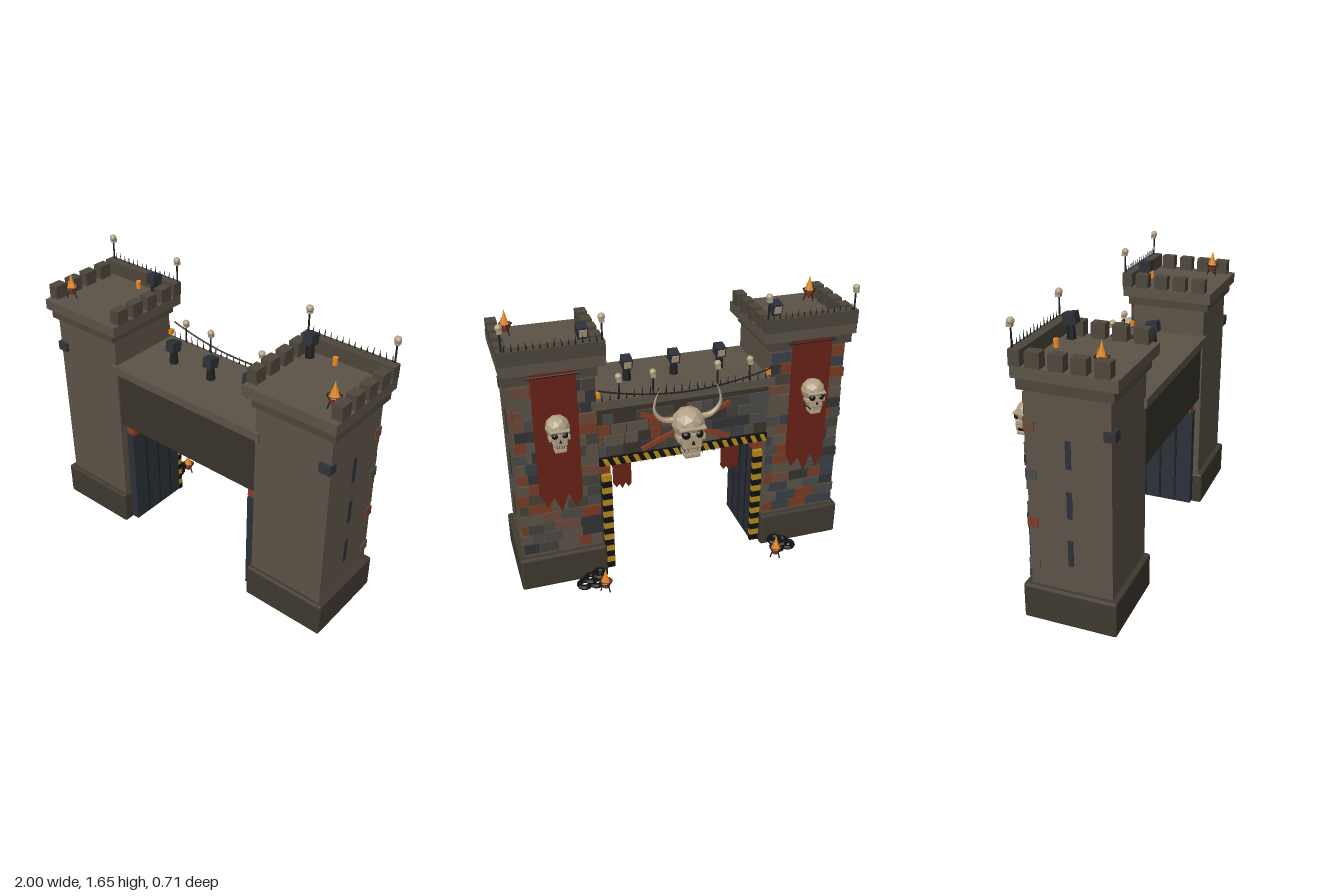
import * as THREE from 'three';
import { RoundedBoxGeometry } from 'three/addons/geometries/RoundedBoxGeometry.js';

const mat = (color, opts = {}) => new THREE.MeshStandardMaterial({ color, flatShading: true, ...opts });
const M = {
  stone: mat(0x5c5347), base: mat(0x3f392f), trim: mat(0x4d463b), dark: mat(0x38332b),
  metal: mat(0x1e2022), blue: mat(0x2b3038), rust: mat(0x8a3c20), bone: mat(0xb0a083),
  cloth: mat(0x6a2218, { side: THREE.DoubleSide }), flame: mat(0xe88a22), yellow: mat(0xb58a1c), black: mat(0x101010),
};
const brickMats = [0x4a4a48, 0x5c5347, 0x3a4048, 0x6b4a38, 0x7a3c24, 0x45403a, 0x333437].map((c) => mat(c));

let seed = 7;
const rand = () => (seed = (seed * 16807) % 2147483647) / 2147483647;

function add(parent, name, geo, material, x = 0, y = 0, z = 0) {
  const m = new THREE.Mesh(geo, material);
  m.name = name;
  m.position.set(x, y, z);
  parent.add(m);
  return m;
}

// Box given by its limits on each axis
function block(parent, name, material, x0, x1, y0, y1, z0, z1, round = 0) {
  const [w, h, d] = [Math.abs(x1 - x0), y1 - y0, z1 - z0];
  const geo = round ? new RoundedBoxGeometry(w, h, d, 1, round) : new THREE.BoxGeometry(w, h, d);
  return add(parent, name, geo, material, (x0 + x1) / 2, (y0 + y1) / 2, (z0 + z1) / 2);
}

function group(parent, name, x, y, z) {
  const g = new THREE.Group();
  g.name = name;
  g.position.set(x, y, z);
  parent.add(g);
  return g;
}

// Patchwork of slightly raised stones on a wall facing -z
function bricks(parent, x0, x1, y0, y1, z) {
  const rowH = 0.066;
  for (let y = y0; y + rowH <= y1 + 0.01; y += rowH) {
    for (let x = x0; x < x1 - 0.02;) {
      const w = Math.min(0.06 + rand() * 0.07, x1 - x);
      const out = 0.005 + rand() * 0.01;
      const m = brickMats[Math.floor(rand() * brickMats.length)];
      if (rand() > 0.2) block(parent, 'wallStone', m, x + 0.003, x + w - 0.003, y + 0.003, y + rowH - 0.003, z - out, z + 0.01);
      x += w;
    }
  }
}

// Hanging cloth with a ragged hem, top edge at y = 0
function banner(parent, name, w, h, x, y, z) {
  const s = new THREE.Shape();
  s.moveTo(-w / 2, 0);
  const hem = [0.9, 0.98, 0.86, 1, 0.88, 0.95, 0.84];
  hem.forEach((f, i) => s.lineTo(-w / 2 + (w * i) / (hem.length - 1), -h * f));
  s.lineTo(w / 2, 0);
  return add(parent, name, new THREE.ExtrudeGeometry(s, { depth: 0.008, bevelEnabled: false }), M.cloth, x, y, z);
}

// Skull of unit width looking along -z
function skull(parent, name, size, x, y, z) {
  const g = group(parent, name, x, y, z);
  g.scale.setScalar(size);
  add(g, 'cranium', new THREE.IcosahedronGeometry(0.52, 1), M.bone, 0, 0.15, 0);
  block(g, 'face', M.bone, -0.3, 0.3, -0.52, 0.05, -0.5, 0.1, 0.06);
  block(g, 'jaw', M.bone, -0.25, 0.25, -0.82, -0.64, -0.48, 0.05, 0.05);
  block(g, 'mouth', M.black, -0.22, 0.22, -0.66, -0.5, -0.42, 0);
  block(g, 'brow', M.bone, -0.42, 0.42, 0.1, 0.22, -0.53, -0.2, 0.05);
  for (const s of [-1, 1]) {
    add(g, 'eyeSocket', new THREE.IcosahedronGeometry(0.14, 1), M.black, s * 0.2, -0.03, -0.42);
    block(g, 'cheekbone', M.bone, s * 0.26, s * 0.44, -0.3, -0.1, -0.4, 0, 0.04);
  }
  add(g, 'noseHole', new THREE.ConeGeometry(0.07, 0.18, 3), M.black, 0, -0.25, -0.49);
  for (let i = -2; i <= 2; i++) block(g, 'tooth', M.bone, i * 0.1 - 0.035, i * 0.1 + 0.035, -0.64, -0.5, -0.5, -0.42);
  return g;
}

function skullPole(parent, x, y, z, h) {
  const g = group(parent, 'skullPole', x, y, z);
  add(g, 'pole', new THREE.CylinderGeometry(0.005, 0.005, h, 6), M.metal, 0, h / 2, 0);
  add(g, 'poleSkull', new THREE.IcosahedronGeometry(0.02, 1), M.bone, 0, h, 0);
  block(g, 'poleJaw', M.bone, -0.012, 0.012, h - 0.028, h - 0.008, -0.018, 0.01);
}

// Fire basket on three legs
function brazier(parent, x, y, z) {
  const g = group(parent, 'brazier', x, y, z);
  add(g, 'bowl', new THREE.CylinderGeometry(0.036, 0.02, 0.04, 8), M.rust, 0, 0.045, 0);
  add(g, 'rim', new THREE.TorusGeometry(0.036, 0.004, 4, 8), M.metal, 0, 0.065, 0).rotation.x = Math.PI / 2;
  for (let i = 0; i < 3; i++) {
    const a = (i * Math.PI * 2) / 3;
    const leg = add(g, 'leg', new THREE.CylinderGeometry(0.004, 0.004, 0.06, 5), M.metal, 0.024 * Math.cos(a), 0.03, 0.024 * Math.sin(a));
    leg.rotation.set(-0.3 * Math.sin(a), 0, 0.3 * Math.cos(a));
    add(g, 'sideFlame', new THREE.ConeGeometry(0.013, 0.05, 5), M.flame, 0.016 * Math.cos(a), 0.085, 0.016 * Math.sin(a));
  }
  add(g, 'flame', new THREE.ConeGeometry(0.023, 0.09, 6), M.flame, 0, 0.105, 0);
}

// Lamp housing tilted towards -z on a pedestal
function spotlight(parent, x, y, z) {
  const g = group(parent, 'spotlight', x, y, z);
  add(g, 'pedestal', new THREE.CylinderGeometry(0.02, 0.026, 0.08, 8), M.metal, 0, 0.04, 0);
  const head = group(g, 'lampHead', 0, 0.108, 0);
  head.rotation.x = -0.2;
  block(head, 'housing', M.blue, -0.028, 0.028, -0.03, 0.03, -0.035, 0.035);
  block(head, 'lens', M.bone, -0.021, 0.021, -0.021, 0.021, -0.038, -0.03);
}

function spikes(parent, x0, x1, n, y, z, h, dir = 1) {
  for (let i = 0; i < n; i++) {
    const len = h * (0.65 + 0.35 * rand());
    const m = add(parent, 'spike', new THREE.ConeGeometry(0.005, len, 4), M.metal, x0 + ((x1 - x0) * i) / (n - 1), y + (dir * len) / 2, z);
    m.rotation.set(0, 0, (dir < 0 ? Math.PI : 0) + (rand() - 0.5) * 0.3);
  }
}

function tower(root, s) {
  const g = group(root, s > 0 ? 'leftTower' : 'rightTower', 0, 0, 0);
  block(g, 'foundation', M.base, s * 0.485, s * 0.99, 0.005, 0.21, -0.19, 0.33, 0.012);
  block(g, 'towerWall', M.stone, s * 0.5, s * 0.96, 0.2, 1.31, -0.15, 0.3);
  block(g, 'lowerCornice', M.trim, s * 0.49, s * 0.985, 1.3, 1.36, -0.175, 0.325);
  block(g, 'upperCornice', M.stone, s * 0.445, s, 1.36, 1.42, -0.195, 0.35);
  block(g, 'parapet', M.trim, s * 0.445, s, 1.42, 1.5, -0.2, -0.14);
  for (const z of [-0.115, 0.003, 0.118, 0.235])
    for (const x of [0.445, 0.94]) block(g, 'merlon', M.trim, s * x, s * (x + 0.06), 1.42, 1.5, z, z + 0.077);
  for (const y of [0.36, 0.635, 0.91]) block(g, 'arrowSlit', M.blue, s * 0.95, s * 0.963, y, y + 0.15, 0.06, 0.09);
  bricks(g, Math.min(s * 0.5, s * 0.96), Math.max(s * 0.5, s * 0.96), 0.225, 1.29, -0.15);
  // Odd stones wrapping the outer corners
  [[0.3, -0.15], [0.55, -0.15], [0.82, -0.15], [1.08, -0.15], [1.09, 0.27]].forEach(([y, z], i) =>
    block(g, 'cornerStone', brickMats[(i * 3 + 1) % 7], s * 0.9, s * 0.966, y, y + 0.055, z - 0.008, z + 0.05));
  spikes(g, s * 0.49, s * 0.96, 14, 1.5, -0.19, 0.05);
  for (const x of [0.46, 0.975]) skullPole(g, s * x, 1.42, -0.188, 0.21);
  // Banner and trophy
  banner(g, 'towerBanner', 0.24, 0.85, s * 0.73, 1.36, -0.205);
  add(g, 'bannerRod', new THREE.CylinderGeometry(0.008, 0.008, 0.28, 6), M.metal, s * 0.73, 1.345, -0.2).rotation.z = Math.PI / 2;
  skull(g, 'towerSkull', 0.13, s * 0.73, 1.05, -0.245);
  // Roof equipment
  brazier(g, s * 0.9, 1.42, 0.23);
  spotlight(g, s * 0.545, 1.42, -0.085);
  add(g, 'fuelCan', new THREE.CylinderGeometry(0.015, 0.015, 0.045, 8), M.flame, s * 0.69, 1.442, -0.1);
  // Open gate leaf with hazard stripes on its edge
  block(g, 'gateLeaf', M.blue, s * 0.435, s * 0.485, 0.02, 0.66, -0.14, 0.27);
  for (const z of [-0.04, 0.06, 0.16]) block(g, 'gateRib', M.metal, s * 0.43, s * 0.44, 0.03, 0.65, z, z + 0.012);
  for (let i = 0; i < 16; i++) block(g, 'gateStripe', i % 2 ? M.yellow : M.black, s * 0.43, s * 0.486, 0.02 + i * 0.04, 0.06 + i * 0.04, -0.146, -0.12);
  for (const z of [-0.12, 0.2]) block(g, 'gateHinge', M.rust, s * 0.43, s * 0.49, 0.66, 0.7, z, z + 0.06);
  // Tyres and a fire basket by the foundation
  for (const [x, y, z] of [[0.64, 0.017, -0.25], [0.57, 0.017, -0.255], [0.6, 0.047, -0.245], [0.55, 0.072, -0.25]]) {
    const t = add(g, 'tyre', new THREE.TorusGeometry(0.033, 0.016, 6, 12), M.black, s * x, y, z);
    t.rotation.x = Math.PI / 2;
  }
  brazier(g, s * 0.53, 0, -0.32);
  banner(g, 'gateBanner', 0.11, 0.27, s * 0.335, 0.735, 0);
  block(g, 'wallLamp', M.flame, s * 0.48, s * 0.5, 1.16, 1.19, -0.17, -0.14);
}

function bridge(root) {
  const g = group(root, 'gateBridge', 0, 0, 0);
  block(g, 'bridgeWall', M.dark, -0.5, 0.5, 0.735, 1.09, -0.15, 0.29);
  block(g, 'bridgeDeck', M.stone, -0.53, 0.53, 1.09, 1.14, -0.172, 0.315);
  bricks(g, -0.5, 0.5, 0.79, 1.09, -0.15);
  // Slanted hazard stripes along the lintel
  block(g, 'hazardBand', M.black, -0.5, 0.5, 0.735, 0.785, -0.166, -0.14);
  for (let i = 0; i < 17; i++) {
    const p = [[0, 0], [0.028, 0], [0.05, 0.046], [0.022, 0.046]].map(([x, y]) => new THREE.Vector2(x, y));
    add(g, 'hazardStripe', new THREE.ExtrudeGeometry(new THREE.Shape(p), { depth: 0.006, bevelEnabled: false }), M.yellow, -0.5 + i * 0.0585, 0.737, -0.17);
  }
  // Underside beams and portcullis teeth
  block(g, 'ceilingPlate', M.metal, -0.44, 0.44, 0.728, 0.736, -0.13, 0.27);
  for (let i = 0; i < 5; i++) {
    const x = -0.36 + i * 0.18;
    block(g, 'ceilingBeam', M.blue, x - 0.01, x + 0.01, 0.715, 0.73, -0.14, 0.27);
    block(g, 'rustPatch', M.rust, x + 0.04, x + 0.065, 0.705, 0.735, -0.1, -0.07);
  }
  for (const z of [-0.12, 0, 0.12]) spikes(g, -0.42, 0.42, 26, 0.73, z, 0.04, -1);
  // Deck fittings
  for (const x of [-0.275, 0, 0.275]) spotlight(g, x, 1.14, 0.06);
  for (const x of [-0.375, -0.185, 0.185, 0.375]) skullPole(g, x, 1.13, -0.16, 0.14);
  spikes(g, -0.47, 0.47, 22, 1.14, -0.165, 0.06);
  const sag = new THREE.QuadraticBezierCurve3(new THREE.Vector3(-0.5, 1.22, -0.197), new THREE.Vector3(0, 1.07, -0.197), new THREE.Vector3(0.5, 1.22, -0.197));
  add(g, 'chain', new THREE.TubeGeometry(sag, 30, 0.005, 5), M.metal);
  // Horned skull over crossed bars
  skull(g, 'gateSkull', 0.185, 0, 0.93, -0.21);
  for (const s of [-1, 1]) {
    const bar = add(g, 'crossedBar', new THREE.BoxGeometry(0.56, 0.025, 0.016), M.rust, 0, 0.92, -0.172);
    bar.rotation.z = s * 0.4;
    const path = new THREE.CatmullRomCurve3([[0.07, 0.98], [0.14, 0.99], [0.19, 1.05], [0.185, 1.12], [0.16, 1.18]].map(([x, y]) => new THREE.Vector3(s * x, y, -0.2)));
    const horn = new THREE.TubeGeometry(path, 12, 0.02, 7);
    // Taper each ring towards the tip
    const p = horn.attributes.position, c = new THREE.Vector3(), v = new THREE.Vector3();
    for (let i = 0; i < p.count; i++) {
      const t = Math.floor(i / 8) / 12;
      path.getPointAt(t, c);
      v.fromBufferAttribute(p, i).lerp(c, t * 0.95);
      p.setXYZ(i, v.x, v.y, v.z);
    }
    horn.computeVertexNormals();
    add(g, 'horn', horn, M.bone);
  }
}

export function createModel() {
  const root = new THREE.Group();
  root.name = 'fortressGate';
  for (const s of [-1, 1]) tower(root, s);
  bridge(root);
  return root;
}
